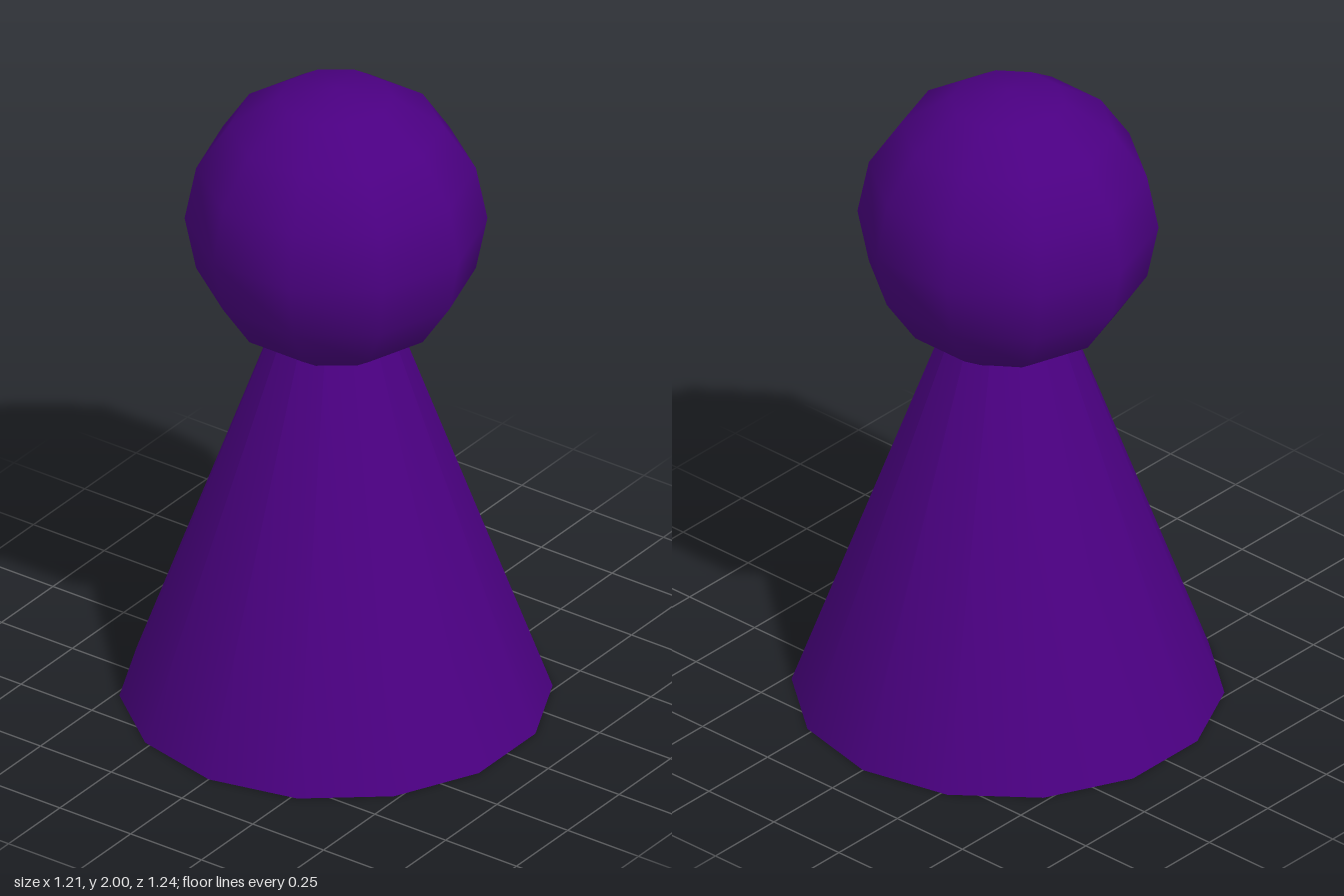
import * as THREE from 'three';

export function createModel() {
  const group = new THREE.Group();
  group.name = 'pawn';
  const material = new THREE.MeshStandardMaterial({ color: 0x4b0082 });

  const add = (name, geometry, y) => {
    const mesh = new THREE.Mesh(geometry, material);
    mesh.name = name;
    mesh.position.y = y;
    group.add(mesh);
  };

  // Fourteen-sided conical body, its tip hidden inside the head
  const bodyHeight = 1.71;
  add('body', new THREE.ConeGeometry(0.62, bodyHeight, 14), bodyHeight / 2);

  // Coarse round head
  const headRadius = 0.433;
  add('head', new THREE.SphereGeometry(headRadius, 10, 8), 2 - headRadius);

  return group;
}
